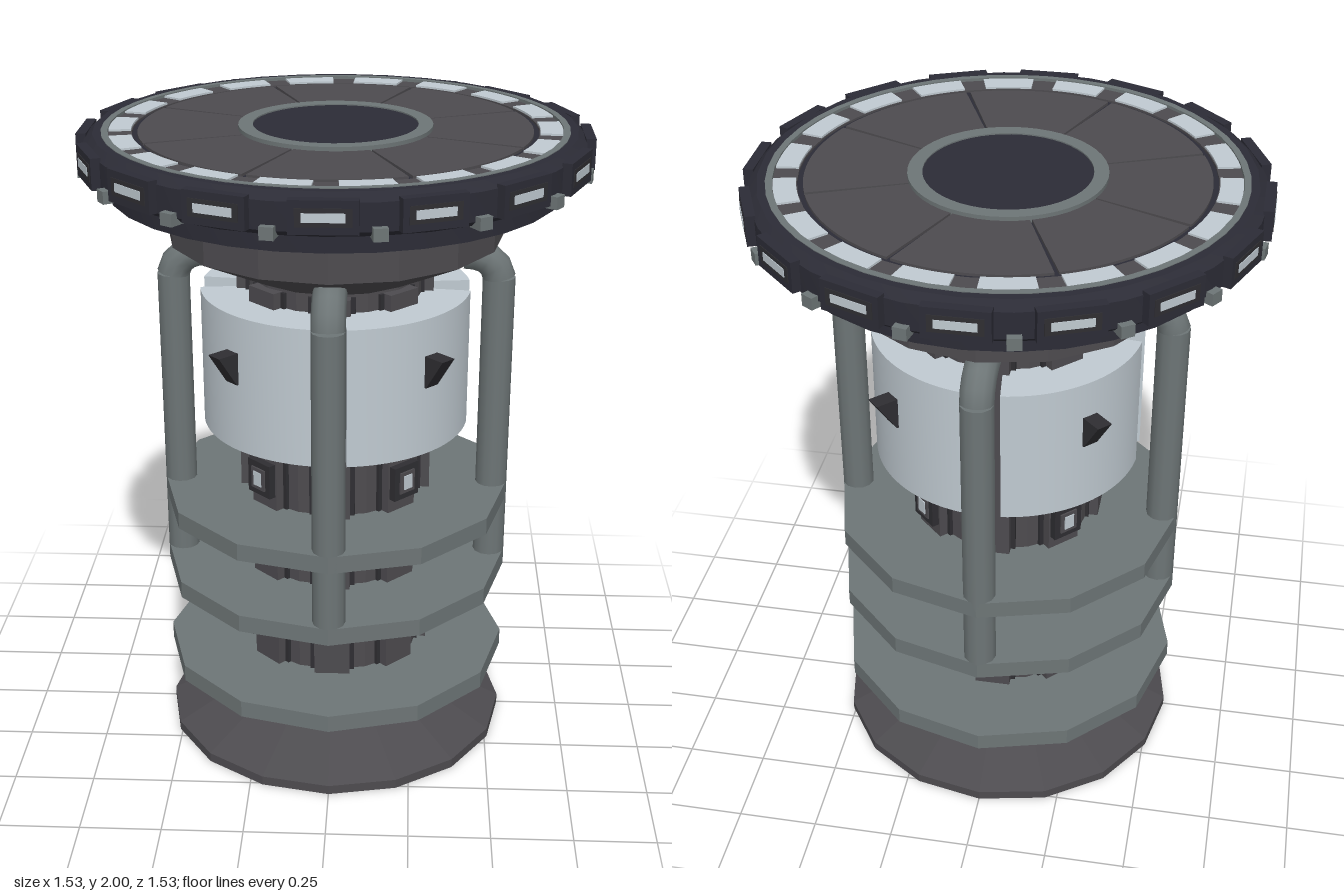
import * as THREE from 'three';
import { toCreasedNormals } from 'three/addons/utils/BufferGeometryUtils.js';

const material = (name, color) => {
  const m = new THREE.MeshStandardMaterial({ color });
  m.name = name;
  return m;
};

export function createModel() {
  const model = new THREE.Group();
  const navy = material('dark navy', 0x2c2c36);
  const charcoal = material('charcoal', 0x4d4b4f);
  const seamDark = material('seam dark', 0x2f2e32);
  const steel = material('steel grey', 0x6d7576);
  const pale = material('pale grey', 0xc0cad1);

  const add = (name, geometry, mat, parent = model) => {
    const mesh = new THREE.Mesh(geometry, mat);
    mesh.name = name;
    parent.add(mesh);
    return mesh;
  };
  // Turned solid from [radius, height] pairs, bottom to top
  const turned = (name, profile, sides, mat, crease = 0.1) => add(name, toCreasedNormals(
    new THREE.LatheGeometry(profile.map(([r, y]) => new THREE.Vector2(r, y)), sides), crease), mat);
  const disc = (name, r, y0, y1, sides, mat, crease) =>
    turned(name, [[0, y0], [r, y0], [r, y1], [0, y1]], sides, mat, crease);
  // Solid slice of a ring between two radii and two angles
  const sector = (name, r0, r1, a0, a1, y0, y1, mat) => {
    const shape = new THREE.Shape();
    shape.absarc(0, 0, r1, a0, a1, false);
    shape.absarc(0, 0, r0, a1, a0, true);
    const g = new THREE.ExtrudeGeometry(shape, { depth: y1 - y0, bevelEnabled: false, curveSegments: 14 });
    g.rotateX(-Math.PI / 2).translate(0, y0, 0);
    return add(name, toCreasedNormals(g, 0.4), mat);
  };
  // Repeats a part around the axis; each copy is built facing +z
  const around = (name, count, offset, build) => {
    for (let i = 0; i < count; i++) {
      const g = new THREE.Group();
      g.name = name;
      g.rotation.y = offset + (i / count) * Math.PI * 2;
      build(g);
      model.add(g);
    }
  };
  const box = (name, w, h, d, x, y, z, mat, parent) =>
    add(name, new THREE.BoxGeometry(w, h, d).translate(x, y, z), mat, parent);

  // Flared foot
  turned('foot', [[0, 0], [0.55, 0], [0.55, 0.03], [0.36, 0.125], [0, 0.125]], 16, charcoal);

  // Column with raised ribs and dark grooves
  disc('columnCore', 0.275, 0.12, 1.56, 16, charcoal);
  around('columnRib', 8, 0, (g) => {
    box('rib', 0.112, 1.43, 0.1, 0, 0.835, 0.25, charcoal, g);
    for (const s of [-1, 1]) box('groove', 0.014, 1.428, 0.1, s * 0.063, 0.835, 0.222, seamDark, g);
  });

  // Flat collars
  for (const [y0, y1] of [[0.232, 0.287], [0.54, 0.595], [0.785, 0.84]]) {
    disc('collar', 0.55, y0, y1, 12, steel);
  }

  // Small lamps on the diagonals of the column
  around('columnLamp', 4, Math.PI / 4, (g) => {
    box('lampFrame', 0.1, 0.11, 0.04, 0, 0.94, 0.303, seamDark, g);
    box('lampBezel', 0.06, 0.07, 0.008, 0, 0.94, 0.324, charcoal, g);
    box('lampGlass', 0.034, 0.046, 0.006, 0, 0.94, 0.328, pale, g);
  });

  // Four pale shells with gaps behind the pipes
  for (let i = 0; i < 4; i++) {
    const a = i * Math.PI / 2;
    sector('shell', 0.27, 0.415, a + 0.12, a + Math.PI / 2 - 0.12, 1.07, 1.5, pale);
  }

  // Wedge-shaped hooks on the shells
  const wedge = new THREE.Shape([[0.4, 1.285], [0.42, 1.285], [0.485, 1.385], [0.4, 1.385]]
    .map(([r, y]) => new THREE.Vector2(r, y)));
  around('hook', 4, Math.PI / 4, (g) => {
    const geo = new THREE.ExtrudeGeometry(wedge, { depth: 0.05, bevelEnabled: false });
    add('hookWedge', geo.translate(0, 0, -0.025).rotateY(-Math.PI / 2), seamDark, g);
  });

  // Upright pipes bending in under the head
  const bend = new THREE.QuadraticBezierCurve3(
    new THREE.Vector3(0, 1.53, 0.5), new THREE.Vector3(0, 1.605, 0.485), new THREE.Vector3(0, 1.605, 0.39));
  around('pipe', 4, 0, (g) => {
    add('pipeStraight', new THREE.CylinderGeometry(0.05, 0.05, 0.94, 12).translate(0, 1.06, 0.5), steel, g);
    add('pipeBend', new THREE.TubeGeometry(bend, 4, 0.05, 12), steel, g);
  });

  // Head: support cone, under plate and rim
  turned('headCone', [[0, 1.555], [0.27, 1.555], [0.51, 1.67], [0.51, 1.78], [0.45, 1.82], [0, 1.82]], 16, charcoal);
  disc('underPlate', 0.68, 1.815, 1.885, 32, navy, 0.4);
  turned('rim', [[0, 1.875], [0.725, 1.875], [0.742, 1.89], [0.742, 1.97], [0.715, 1.993], [0.685, 1.993],
    [0.68, 1.98], [0, 1.98]], 32, navy, 0.4);

  // Framed lamps and clamps round the rim
  around('rimLamp', 16, 0, (g) => {
    box('rimFrame', 0.186, 0.092, 0.03, 0, 1.936, 0.744, navy, g);
    box('rimBezel', 0.15, 0.05, 0.004, 0, 1.936, 0.759, seamDark, g);
    box('rimGlass', 0.115, 0.025, 0.006, 0, 1.936, 0.76, pale, g);
  });
  around('rimClamp', 16, Math.PI / 16, (g) => {
    box('clamp', 0.04, 0.036, 0.05, 0, 1.888, 0.738, steel, g);
  });

  // Top face: steel lip, lamp track, panels and hub
  const ring = (name, r0, r1, y1, mat) =>
    turned(name, [[r0, 1.97], [r1, 1.97], [r1, y1], [r0, y1], [r0, 1.97]], 48, mat, 0.4);
  ring('lip', 0.67, 0.69, 1.995, steel);
  ring('lampTrack', 0.6, 0.672, 1.986, charcoal);
  for (let i = 0; i < 18; i++) {
    const a = (i / 18) * Math.PI * 2;
    sector('trackLamp', 0.602, 0.668, a - 0.119, a + 0.119, 1.984, 1.992, pale);
  }
  for (let i = 0; i < 8; i++) {
    const a = (i / 8) * Math.PI * 2;
    const half = Math.PI / 8 - 0.011;
    sector('topPanel', 0.27, 0.583, a - half, a + half, 1.975, 1.988, charcoal);
  }
  ring('hubRing', 0.245, 0.288, 2, steel);
  disc('hub', 0.247, 1.97, 1.996, 48, navy, 0.4);

  return model;
}
